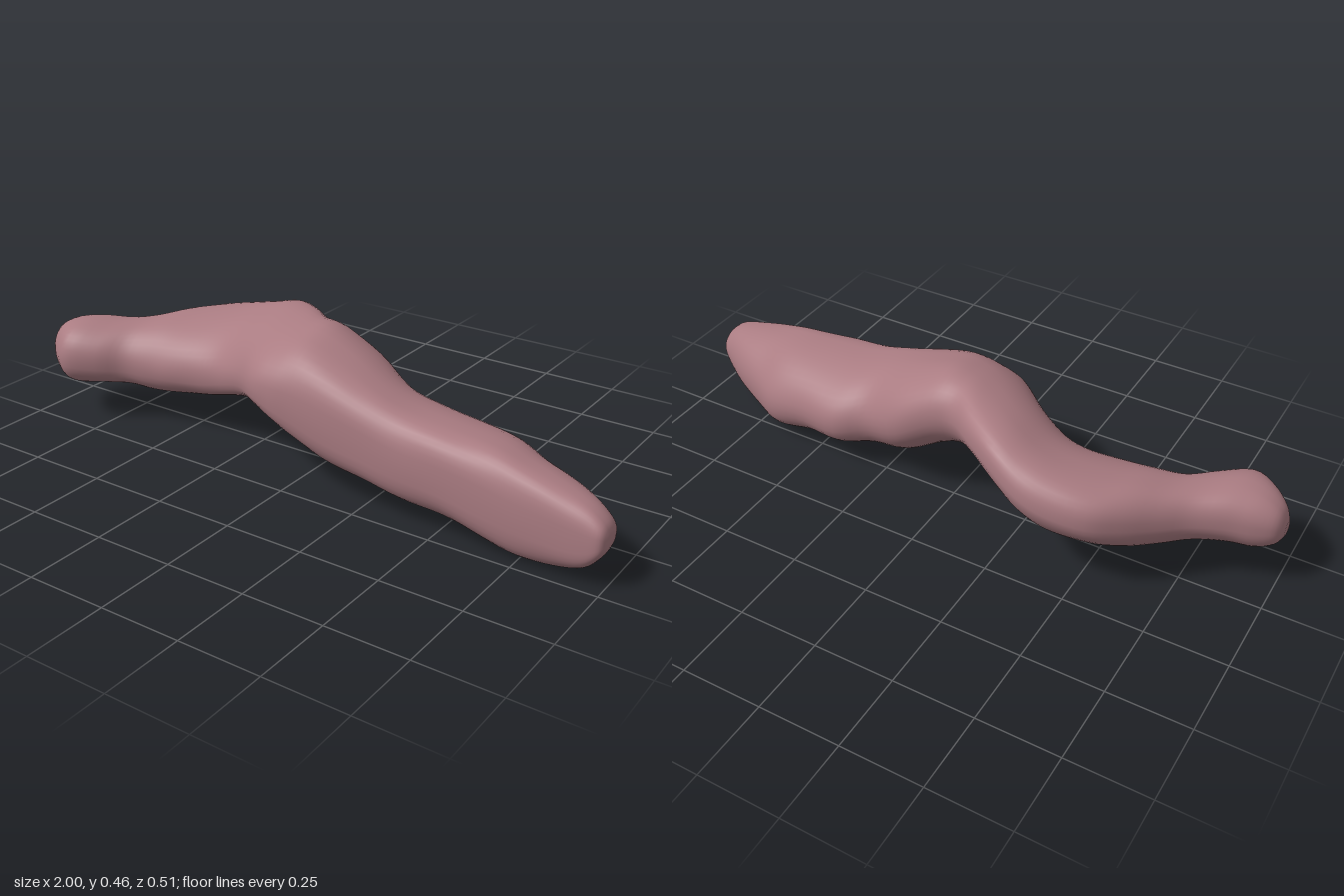
import * as THREE from 'three';
import { mergeVertices } from 'three/addons/utils/BufferGeometryUtils.js';

// Stations along the body: x, bottom y, top y, back z, front z, lean (negative = higher at the back)
const stations = [
  [-1.0, 0.18, 0.225, 0.105, 0.15, 0],
  [-0.98, 0.15, 0.272, 0.068, 0.178, 0],
  [-0.93, 0.123, 0.307, 0.037, 0.22, 0],
  [-0.86, 0.117, 0.322, 0.008, 0.254, -0.05],
  [-0.77, 0.12, 0.315, -0.038, 0.214, -0.1],
  [-0.7, 0.115, 0.32, -0.098, 0.16, -0.15],
  [-0.62, 0.106, 0.34, -0.175, 0.137, -0.22],
  [-0.54, 0.108, 0.352, -0.232, 0.125, -0.28],
  [-0.43, 0.12, 0.372, -0.257, 0.106, -0.32],
  [-0.34, 0.147, 0.395, -0.255, 0.107, -0.36],
  [-0.24, 0.18, 0.428, -0.22, 0.145, -0.38],
  [-0.13, 0.205, 0.445, -0.155, 0.222, -0.34],
  [-0.05, 0.186, 0.454, -0.103, 0.243, -0.3],
  [0.03, 0.152, 0.452, -0.098, 0.245, -0.25],
  [0.15, 0.096, 0.403, -0.1, 0.246, -0.1],
  [0.28, 0.073, 0.348, -0.065, 0.246, 0.04],
  [0.39, 0.052, 0.317, -0.09, 0.246, 0.1],
  [0.52, 0.038, 0.304, -0.072, 0.246, 0.12],
  [0.65, 0.01, 0.292, -0.057, 0.246, 0.12],
  [0.75, 0.0, 0.269, -0.007, 0.246, 0.1],
  [0.86, 0.014, 0.243, 0.048, 0.246, 0.05],
  [0.94, 0.043, 0.218, 0.098, 0.245, 0],
  [0.985, 0.09, 0.188, 0.13, 0.24, 0],
  [1.0, 0.12, 0.16, 0.165, 0.218, 0],
];

// Smooth value of one column at a fractional station
function sample(t, column) {
  const last = stations.length - 1;
  const i = Math.min(Math.floor(t), last - 1), f = t - i;
  const v = k => stations[Math.max(0, Math.min(last, k))][column];
  const a = v(i - 1), b = v(i), c = v(i + 1), d = v(i + 2);
  return b + 0.5 * f * (c - a + f * (2 * a - 5 * b + 4 * c - d + f * (3 * (b - c) + d - a)));
}

const power = (v, e) => Math.sign(v) * Math.pow(Math.abs(v), e);

// Map values linearly so that they span low..high
function fit(values, low, high) {
  const min = Math.min(...values), max = Math.max(...values);
  return values.map(v => low + (v - min) / (max - min) * (high - low));
}

// Corner roundness for the curved half and the straight half (smaller = squarer)
const roundness = {
  frontTop: [0.9, 0.62], frontBottom: [0.8, 0.6],
  backTop: [0.75, 0.92], backBottom: [1, 0.88],
};

// Leaning oval section, flattened along the front of the straight half
function section(x, yb, yt, zb, zf, lean, sides) {
  const straight = THREE.MathUtils.smoothstep(x, -0.2, 0.1);
  const front = 1 - 0.3 * THREE.MathUtils.smoothstep(x, 0, 0.35);
  const us = [], vs = [];
  for (let j = 0; j < sides; j++) {
    const a = j / sides * Math.PI * 2, c = Math.cos(a), s = Math.sin(a);
    const corner = (c > 0 ? 'front' : 'back') + (s > 0 ? 'Top' : 'Bottom');
    const e = THREE.MathUtils.lerp(...roundness[corner], straight);
    const dent = 1 - 0.03 * (1 + Math.sin(x * 19 + 3 * a)) * Math.abs(c * s);
    const u = power(c, e) * (c > 0 ? front : 1) * dent;
    us.push(u);
    vs.push(power(s, e) * dent + lean * u);
  }
  return [fit(vs, yb, yt), fit(us, zb, zf)];
}

// Skin: rings of sections, each end closed by a fan to its centre
function bodyGeometry(rings, sides) {
  const positions = [], index = [];
  for (let i = 0; i <= rings; i++) {
    const t = i / rings * (stations.length - 1);
    const [x, ...shape] = [0, 1, 2, 3, 4, 5].map(c => sample(t, c));
    const [ys, zs] = section(x, ...shape, sides);
    for (let j = 0; j < sides; j++) {
      positions.push(x, ys[j], zs[j]);
      const p = i * sides + j, q = i * sides + (j + 1) % sides;
      if (i < rings) index.push(p, p + sides, q + sides, p, q + sides, q);
    }
  }
  for (const [end, ring] of [[0, 0], [stations.length - 1, rings]]) {
    const [x, yb, yt, zb, zf] = stations[end];
    const centre = positions.length / 3;
    positions.push(x, (yb + yt) / 2, (zb + zf) / 2);
    for (let j = 0; j < sides; j++) {
      const p = ring * sides + j, q = ring * sides + (j + 1) % sides;
      index.push(centre, ...(end === 0 ? [p, q] : [q, p]));
    }
  }
  const geometry = new THREE.BufferGeometry();
  geometry.setAttribute('position', new THREE.Float32BufferAttribute(positions, 3));
  geometry.setIndex(index);
  const merged = mergeVertices(geometry, 1e-5);
  merged.computeVertexNormals();
  return merged;
}

export function createModel() {
  const model = new THREE.Group();
  model.name = 'bentBody';
  const skin = new THREE.MeshStandardMaterial({ color: 0xaa7c82 });
  skin.name = 'dustyPink';
  const body = new THREE.Mesh(bodyGeometry(92, 40), skin);
  body.name = 'body';
  model.add(body);
  return model;
}
